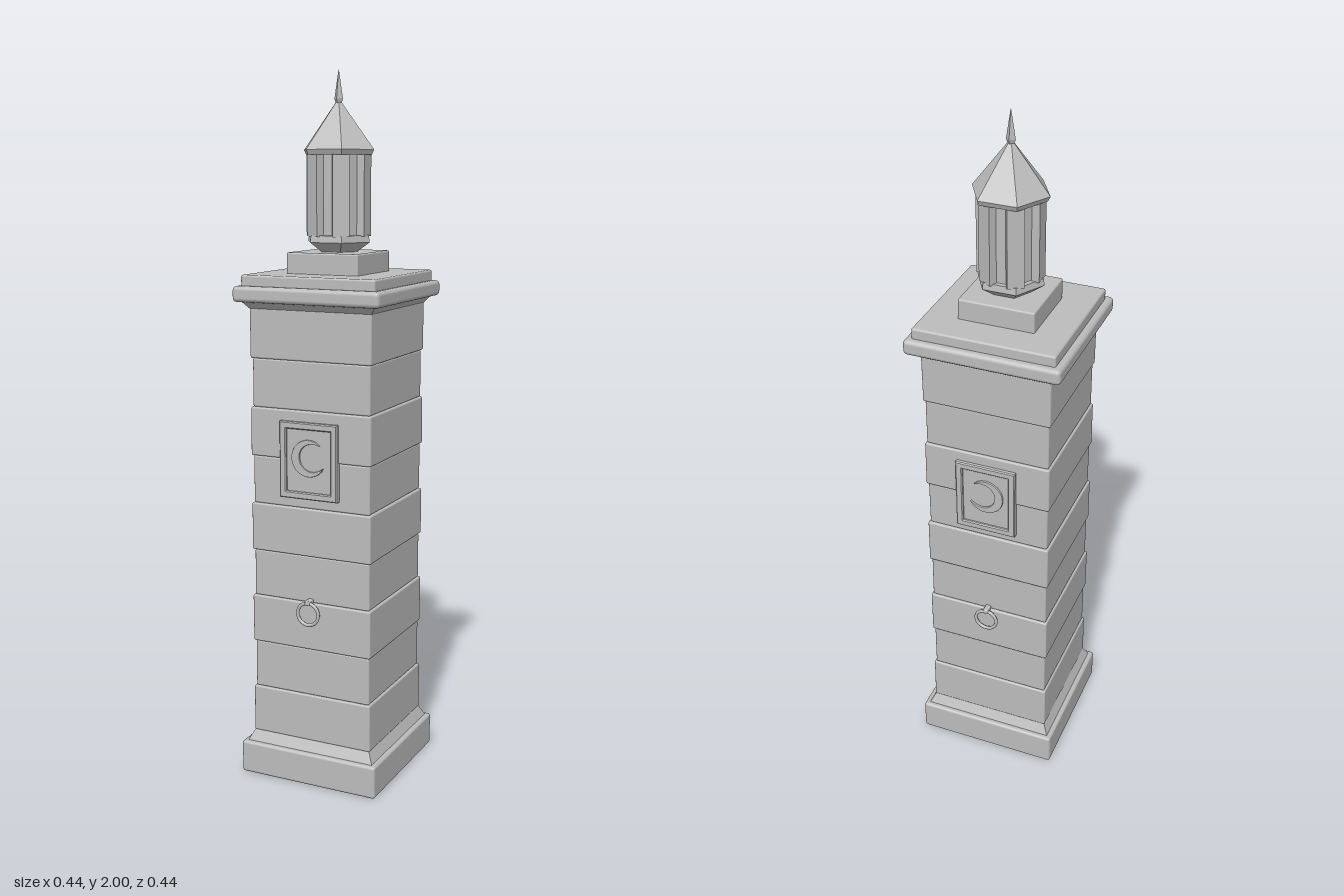
import * as THREE from 'three';
import { toCreasedNormals } from 'three/addons/utils/BufferGeometryUtils.js';
import { RoundedBoxGeometry } from 'three/addons/geometries/RoundedBoxGeometry.js';

const stone = new THREE.MeshStandardMaterial({ color: 0xbcbcbc });
stone.name = 'grey stone';

function add(parent, name, geometry, x = 0, y = 0, z = 0) {
  const mesh = new THREE.Mesh(geometry, stone);
  mesh.name = name;
  mesh.position.set(x, y, z);
  parent.add(mesh);
  return mesh;
}

// Square slab with softened edges, given by its bottom, top and half width
function slab(parent, name, y0, y1, half, radius) {
  return add(parent, name, new RoundedBoxGeometry(half * 2, y1 - y0, half * 2, 2, radius), 0, (y0 + y1) / 2, 0);
}

// Faceted prism or frustum between two heights
function frustum(parent, name, sides, y0, r0, y1, r1, turn) {
  const g = new THREE.CylinderGeometry(r1, r0, y1 - y0, sides);
  g.rotateY(turn);
  return add(parent, name, toCreasedNormals(g, 0.5), 0, (y0 + y1) / 2, 0);
}

// Crescent outline, bulging towards -x * side
function crescentShape(side) {
  const outer = 0.05, tip0 = 0.9, tip1 = Math.PI * 2 - 0.55, n = 28;
  const points = [];
  for (let i = 0; i <= n; i++) {
    const a = tip0 + (tip1 - tip0) * i / n;
    points.push(new THREE.Vector2(side * outer * Math.cos(a), outer * Math.sin(a)));
  }
  // Inner arc shares the tips and is thickest opposite the opening
  for (let i = n - 1; i > 0; i--) {
    const a = tip0 + (tip1 - tip0) * i / n;
    const r = outer - 0.02 * Math.sin(Math.PI * i / n);
    points.push(new THREE.Vector2(side * r * Math.cos(a), r * Math.sin(a)));
  }
  return new THREE.Shape(points);
}

// Framed crescent plaque and hanging ring, for one face of the tower
function faceOrnaments(side) {
  const group = new THREE.Group();
  group.name = side > 0 ? 'frontOrnaments' : 'backOrnaments';

  const frame = new THREE.Shape();
  const rect = (path, w, h) => path.moveTo(-w, -h).lineTo(w, -h).lineTo(w, h).lineTo(-w, h).closePath();
  rect(frame, 0.085, 0.105);
  const hole = new THREE.Path();
  rect(hole, 0.071, 0.091);
  frame.holes.push(hole);
  add(group, 'plaqueFrame', new THREE.ExtrudeGeometry(frame, {
    depth: 0.02, bevelSize: 0.003, bevelThickness: 0.003, bevelSegments: 1,
  }), 0, 0.947, 0.173);
  add(group, 'plaquePanel', new THREE.BoxGeometry(0.15, 0.19, 0.02), 0, 0.947, 0.178);
  add(group, 'crescent', new THREE.ExtrudeGeometry(crescentShape(side), {
    depth: 0.006, bevelSize: 0.002, bevelThickness: 0.002, bevelSegments: 2,
  }), 0, 0.955, 0.186);

  add(group, 'ring', new THREE.TorusGeometry(0.032, 0.005, 8, 28), 0, 0.51, 0.199);
  add(group, 'ringBracket', new RoundedBoxGeometry(0.016, 0.014, 0.03, 2, 0.003), 0, 0.543, 0.19);
  if (side < 0) group.rotation.y = Math.PI;
  return group;
}

export function createModel() {
  const model = new THREE.Group();
  model.name = 'stoneLanternTower';
  const quarter = Math.PI / 4, root2 = Math.SQRT2;

  // Base with sloping shoulder
  slab(model, 'base', 0, 0.095, 0.212, 0.008);
  frustum(model, 'baseShoulder', 4, 0.09, 0.2 * root2, 0.127, 0.182 * root2, quarter);

  // Tower of stacked courses, alternating proud and recessed, each slightly tapered
  const joints = [0.125, 0.262, 0.4, 0.538, 0.673, 0.81, 0.947, 1.085, 1.222, 1.362];
  const tower = new THREE.Group();
  tower.name = 'tower';
  for (let i = 0; i < 9; i++) {
    const half = i % 2 ? 0.179 : 0.184;
    const course = slab(tower, 'course', joints[i], joints[i + 1], half, 0.005);
    const pos = course.geometry.attributes.position;
    const lean = 0.02 * (i % 3 - 1);
    for (let v = 0; v < pos.count; v++) {
      const k = 1 + lean * pos.getY(v);
      pos.setX(v, pos.getX(v) * k);
      pos.setZ(v, pos.getZ(v) * k);
    }
  }
  model.add(tower);

  // Cornice and lantern plinth
  frustum(model, 'corniceNeck', 4, 1.355, 0.18 * root2, 1.385, 0.205 * root2, quarter);
  slab(model, 'cornice', 1.378, 1.422, 0.22, 0.012);
  slab(model, 'corniceTop', 1.415, 1.452, 0.201, 0.006);
  slab(model, 'plinth', 1.445, 1.51, 0.108, 0.005);

  // Hexagonal lantern with corners on the x axis
  const lantern = new THREE.Group();
  lantern.name = 'lantern';
  const turn = Math.PI / 6;
  frustum(lantern, 'lanternFoot', 6, 1.505, 0.05, 1.537, 0.095, turn);
  frustum(lantern, 'lanternSill', 6, 1.537, 0.095, 1.556, 0.092, turn);
  frustum(lantern, 'lanternCore', 6, 1.55, 0.077, 1.78, 0.077, turn);
  for (let i = 0; i < 6; i++) {
    const a = i * Math.PI / 3;
    const post = add(lantern, 'lanternPost', new THREE.BoxGeometry(0.022, 0.224, 0.046),
      0.077 * Math.cos(a), 1.665, 0.077 * Math.sin(a));
    post.rotation.y = -a;
  }
  model.add(lantern);

  // Pointed roof and finial
  frustum(model, 'roofEave', 6, 1.773, 0.1, 1.787, 0.107, turn);
  frustum(model, 'roof', 6, 1.787, 0.107, 1.913, 0.009, turn);
  frustum(model, 'finialBase', 4, 1.905, 0.007, 1.923, 0.013, 0);
  frustum(model, 'finialSpike', 4, 1.923, 0.013, 2, 0.0005, 0);

  // Plaques and rings on front and back
  model.add(faceOrnaments(1), faceOrnaments(-1));
  return model;
}
